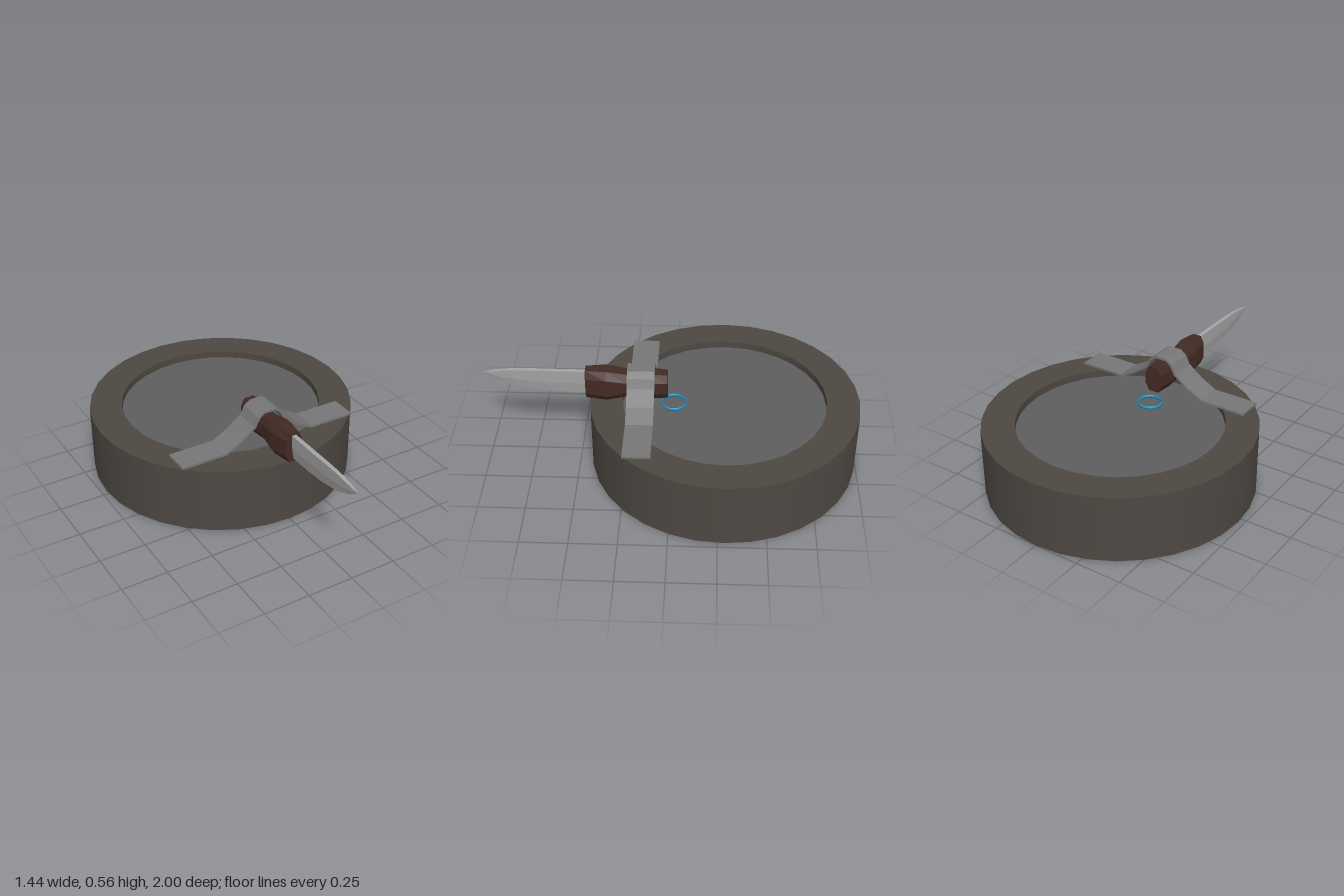
import * as THREE from 'three';

const paint = (color, extra = {}) => new THREE.MeshStandardMaterial({ color, ...extra });

function addMesh(parent, name, geometry, material) {
  const mesh = new THREE.Mesh(geometry, material);
  mesh.name = name;
  parent.add(mesh);
  return mesh;
}

// Skin a row of cross-sections (counter-clockwise seen from +z) and cap both ends
function loft(sections) {
  const pos = [];
  const tri = (...pts) => pts.forEach((p) => pos.push(...p));
  const n = sections[0].length;
  for (let s = 0; s < sections.length - 1; s++) {
    const a = sections[s], b = sections[s + 1];
    for (let i = 0; i < n; i++) {
      const j = (i + 1) % n;
      tri(a[i], a[j], b[j]);
      tri(a[i], b[j], b[i]);
    }
  }
  const first = sections[0], last = sections[sections.length - 1];
  for (let i = 1; i < n - 1; i++) {
    tri(first[0], first[i + 1], first[i]);
    tri(last[0], last[i], last[i + 1]);
  }
  const geometry = new THREE.BufferGeometry();
  geometry.setAttribute('position', new THREE.Float32BufferAttribute(pos, 3));
  geometry.computeVertexNormals();
  return geometry;
}

// Chamfered rectangle section
function octagon(z, halfWidth, bottom, top) {
  const w = halfWidth, c = halfWidth * 0.55, d = 0.04;
  return [
    [w, bottom + d], [w, top - d], [c, top], [-c, top],
    [-w, top - d], [-w, bottom + d], [-c, bottom], [c, bottom],
  ].map(([x, y]) => [x, y, z]);
}

export function createModel() {
  const model = new THREE.Group();
  const stone = paint(0x4e4842);
  const plate = paint(0x5e5e5e);
  const wood = paint(0x432a24, { flatShading: true });
  const steel = paint(0xa4a4a4, { flatShading: true });
  const band = paint(0x777777, { flatShading: true });
  const blue = paint(0x2391c0, { side: THREE.DoubleSide });

  // Round base with a shallow recess; each profile edge stays sharp
  const base = new THREE.Group();
  base.name = 'base';
  base.position.z = -0.28;
  model.add(base);
  const profile = [[0, 0], [0.72, 0], [0.72, 0.364], [0.545, 0.364], [0.545, 0.325], [0, 0.325]]
    .map(([r, y]) => new THREE.Vector2(r, y));
  ['underside', 'outerWall', 'rim', 'recessWall', 'recessFloor'].forEach((name, i) => {
    const geometry = new THREE.LatheGeometry([profile[i], profile[i + 1]], 32);
    addMesh(base, name, geometry, i === 4 ? plate : stone);
  });

  // Small ring lying in the recess
  const ring = addMesh(model, 'ring', new THREE.TorusGeometry(0.064, 0.005, 6, 32), blue);
  ring.rotation.x = Math.PI / 2;
  ring.scale.z = 2;
  ring.position.set(0, 0.335, -0.008);

  // Knife: swelling eight-sided handle and wedge-section blade
  const knife = new THREE.Group();
  knife.name = 'knife';
  model.add(knife);
  const handle = [
    [0.025, 0.05, 0.385, 0.53], [0.13, 0.057, 0.38, 0.538], [0.24, 0.053, 0.39, 0.53],
    [0.35, 0.065, 0.368, 0.55], [0.46, 0.045, 0.375, 0.545],
  ];
  addMesh(knife, 'handle', loft(handle.map((s) => octagon(...s))), wood);
  const blade = [
    [0.44, 0.012, 0.39, 0.53], [0.6, 0.012, 0.392, 0.53], [0.72, 0.012, 0.402, 0.531],
    [0.81, 0.011, 0.418, 0.531], [0.88, 0.01, 0.439, 0.528], [0.945, 0.008, 0.469, 0.52],
    [1, 0.002, 0.507, 0.511],
  ];
  addMesh(knife, 'blade', loft(blade.map(([z, w, low, high]) => {
    const mid = low + (high - low) * 0.45;
    return [[0, low, z], [w * 0.8, mid, z], [w, high, z], [-w, high, z], [-w * 0.8, mid, z]];
  })), steel);

  // Strap bent over the handle, offset to an even thickness
  const half = [[0.515, 0.374], [0.26, 0.374], [0.17, 0.422], [0.09, 0.482], [0.065, 0.53], [0.035, 0.553]];
  const path = [...half, ...half.map(([x, y]) => [-x, y]).reverse()]
    .map(([x, y]) => new THREE.Vector2(x, y));
  const offset = (amount) => path.map((p, i) => {
    const before = path[Math.max(i - 1, 0)], after = path[Math.min(i + 1, path.length - 1)];
    const dir = after.clone().sub(before).normalize();
    return new THREE.Vector2(p.x + dir.y * amount, p.y - dir.x * amount);
  });
  const outline = new THREE.Shape([...offset(0.006), ...offset(-0.006).reverse()]);
  const strap = new THREE.ExtrudeGeometry(outline, { depth: 0.145, bevelEnabled: false });
  strap.translate(0, 0, 0.092);
  addMesh(model, 'strap', strap, band);

  return model;
}
